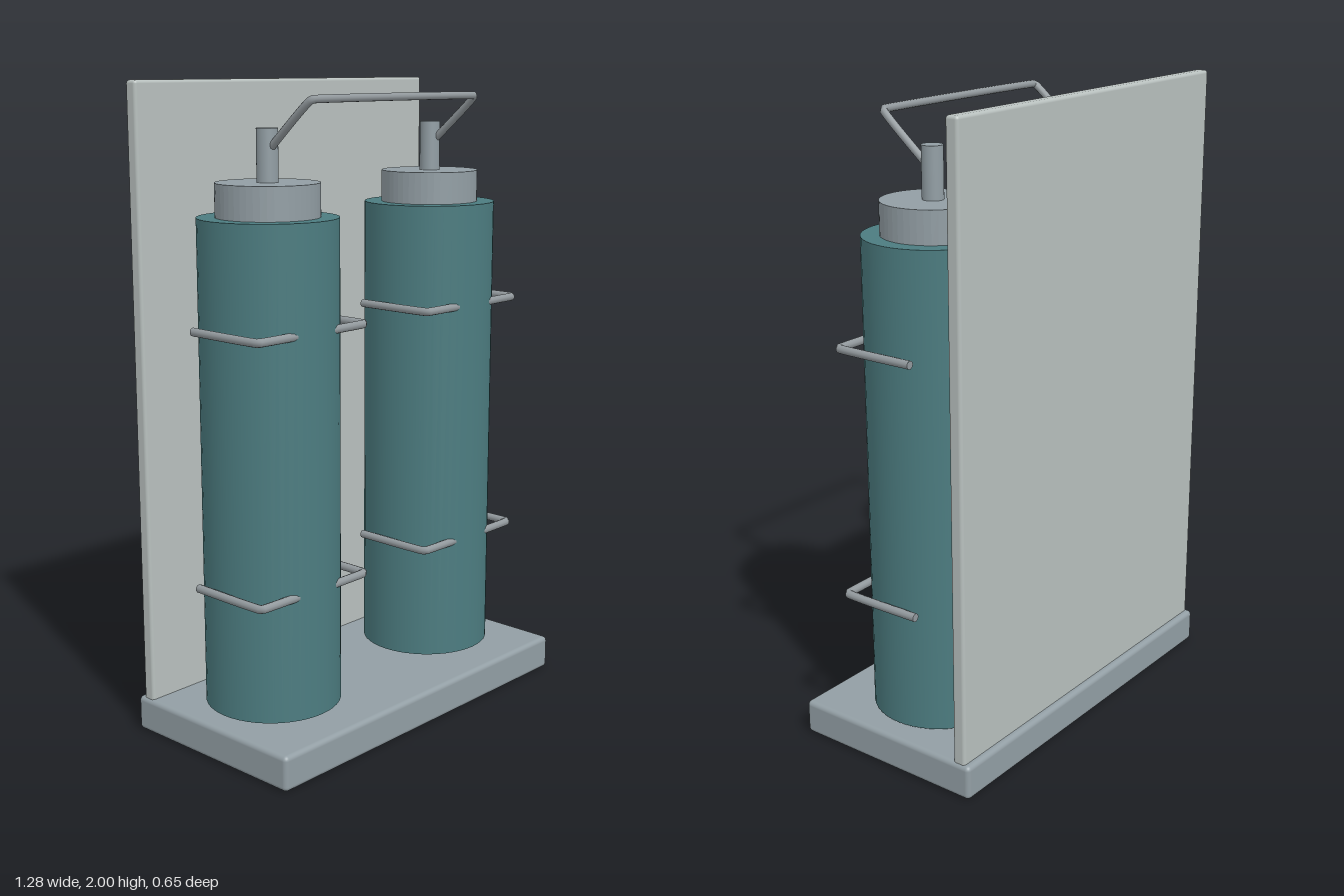
import * as THREE from 'three';
import { RoundedBoxGeometry } from 'three/addons/geometries/RoundedBoxGeometry.js';

const material = (name, color) => {
  const m = new THREE.MeshStandardMaterial({ color });
  m.name = name;
  return m;
};

export function createModel() {
  const steel = material('blue grey steel', 0x929ea4);
  const panelGrey = material('pale grey panel', 0xb8c0be);
  const teal = material('teal paint', 0x4c7c80);
  const wire = material('wire grey', 0x92999d);

  const model = new THREE.Group();
  model.name = 'twinTankStand';

  const add = (parent, name, geometry, mat, x = 0, y = 0, z = 0) => {
    const mesh = new THREE.Mesh(geometry, mat);
    mesh.name = name;
    mesh.position.set(x, y, z);
    parent.add(mesh);
    return mesh;
  };

  // Upright cylinder standing between two heights
  const drum = (parent, name, radius, y0, y1, mat, flat = false) => {
    let g = new THREE.CylinderGeometry(radius, radius, y1 - y0, 48);
    if (flat) {
      g = g.toNonIndexed();
      g.computeVertexNormals();
    }
    return add(parent, name, g, mat, 0, (y0 + y1) / 2, 0);
  };

  // Bent round wire with closed ends
  const rod = (parent, name, coords, radius) => {
    const group = new THREE.Group();
    group.name = name;
    const points = coords.map(c => new THREE.Vector3(...c));
    const curve = new THREE.CatmullRomCurve3(points, false, 'catmullrom', 0.05);
    add(group, name + 'Wire', new THREE.TubeGeometry(curve, 96, radius, 10), wire);
    for (const t of [0, 1]) {
      const p = curve.getPoint(t);
      const outward = curve.getTangent(t).multiplyScalar(t ? 1 : -1);
      const end = add(group, name + 'End', new THREE.CircleGeometry(radius, 10), wire, p.x, p.y, p.z);
      end.quaternion.setFromUnitVectors(new THREE.Vector3(0, 0, 1), outward);
    }
    parent.add(group);
  };

  // Base slab and back panel
  add(model, 'base', new RoundedBoxGeometry(1.28, 0.11, 0.654, 3, 0.015), steel, 0, 0.055, 0);
  add(model, 'backPanel', new RoundedBoxGeometry(1.264, 1.9, 0.043, 3, 0.01), panelGrey, 0, 1.05, -0.285);

  // Two tanks, each with collar, valve stem and retaining clips
  for (const side of [1, -1]) {
    const tank = new THREE.Group();
    tank.name = side > 0 ? 'leftTank' : 'rightTank';
    tank.position.x = 0.366 * side;
    model.add(tank);

    drum(tank, 'tankBody', 0.21, 0.12, 1.61, teal);
    drum(tank, 'collar', 0.155, 1.61, 1.71, steel, true);
    drum(tank, 'valveStem', 0.032, 1.71, 1.865, steel);

    for (const y of [0.507, 1.288]) {
      rod(tank, 'retainingClip', [
        [-0.22, y, -0.09], [-0.22, y, 0.18], [0.22, y, 0.18], [0.22, y, -0.09],
      ], 0.013);
    }
  }

  // Bail handle joining both valve stems
  rod(model, 'handle', [
    [-0.37, 1.81, 0.02], [-0.366, 1.948, 0.18], [0.366, 1.948, 0.18], [0.37, 1.81, 0.02],
  ], 0.012);

  return model;
}
